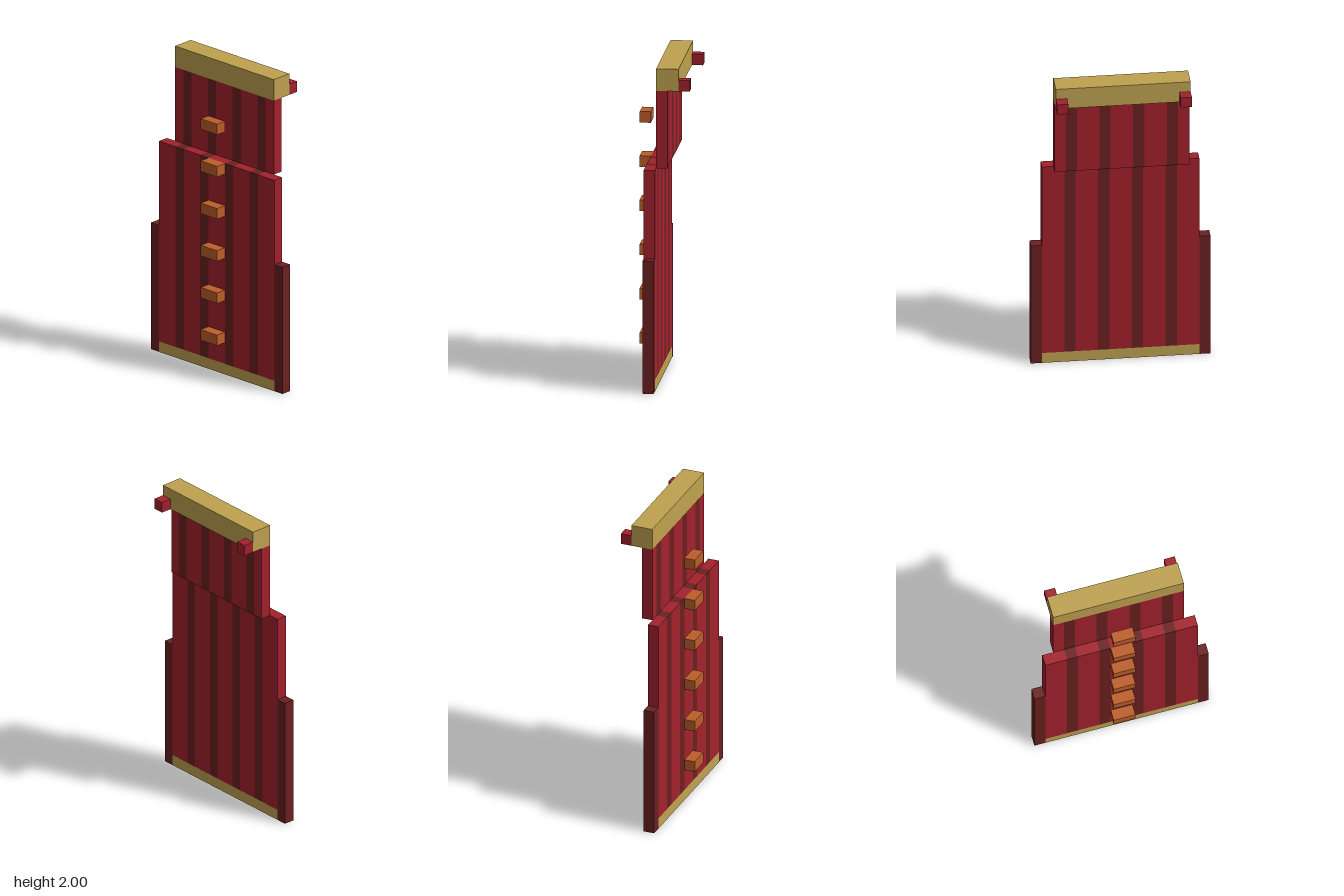
import * as THREE from 'three';

const U = 2 / 29; // one block; the model is 29 blocks tall

const mat = (name, color) => {
  const m = new THREE.MeshStandardMaterial({ color });
  m.name = name;
  return m;
};

export function createModel() {
  const red = mat('red cloth', 0xa3212d);
  const darkRed = mat('dark red cloth', 0x6b2020);
  const gold = mat('gold trim', 0xbfa250);
  const orange = mat('orange buttons', 0xbd5e2a);

  const model = new THREE.Group();
  model.name = 'bannerCloth';

  // Box given by its limits in blocks
  const block = (parent, name, material, [x0, x1], [y0, y1], [z0, z1]) => {
    const mesh = new THREE.Mesh(
      new THREE.BoxGeometry((x1 - x0) * U, (y1 - y0) * U, (z1 - z0) * U), material);
    mesh.position.set((x0 + x1) / 2 * U, (y0 + y1) / 2 * U, (z0 + z1) / 2 * U);
    mesh.name = name;
    parent.add(mesh);
  };

  // Panel of vertical stripes, dark ones between the red ones
  const panel = (name, half, y, z) => {
    const group = new THREE.Group();
    group.name = name;
    const edges = [-half, -5, -4, -2, -1, 1, 2, 4, 5, half];
    for (let i = 0; i < edges.length - 1; i++) {
      const dark = i % 2 === 1;
      block(group, dark ? 'darkStripe' : 'redStripe', dark ? darkRed : red,
        [edges[i], edges[i + 1]], y, z);
    }
    model.add(group);
  };

  panel('lowerPanel', 7, [1, 20], [0.5, 1.5]);
  panel('upperPanel', 6, [20, 27], [-0.5, 0.5]);

  // Gold trim along the bottom and top
  block(model, 'hem', gold, [-7, 7], [0, 1], [0.5, 1.5]);
  block(model, 'collar', gold, [-6, 6], [27, 29], [-1.5, 0.5]);

  // Side borders and the lugs behind the collar
  for (const [side, s] of [['left', 1], ['right', -1]]) {
    const span = (a, b) => (s > 0 ? [a, b] : [-b, -a]);
    block(model, side + 'Border', darkRed, span(7, 8), [0, 12], [0.5, 1.5]);
    block(model, side + 'Lug', red, span(5, 6), [27, 28], [-2.5, -1.5]);
  }

  // Column of buttons down the front
  for (let y = 3; y <= 23; y += 4) {
    block(model, 'button', orange, [-1, 1], [y, y + 1], [1.5, 2.5]);
  }

  return model;
}
